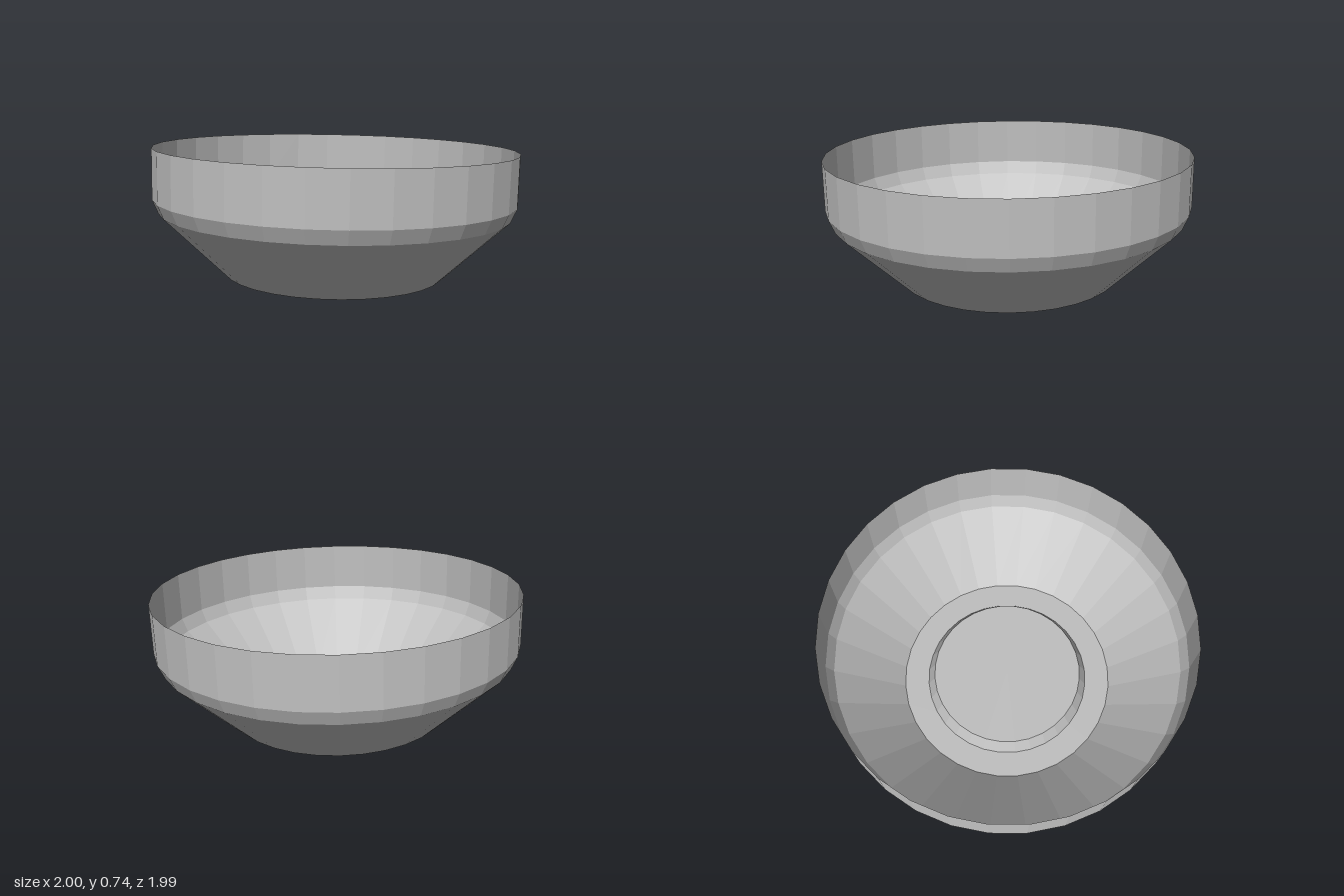
import * as THREE from 'three';

const SEGMENTS = 32;
const TILT = -0.0252;
const PHASE = THREE.MathUtils.degToRad(1.8);

export function createModel() {
  const grey = new THREE.MeshStandardMaterial({
    color: 0xc0c0c0, flatShading: true, side: THREE.DoubleSide,
  });
  grey.name = 'plain grey';

  const model = new THREE.Group();
  model.name = 'bowl';

  // the whole bowl leans slightly towards +x
  const shell = new THREE.Group();
  shell.name = 'leaningShell';
  shell.rotation.z = TILT;
  shell.position.set(-0.014, 0.0153, 0);
  model.add(shell);

  // one thin turned band from [radius, height] points
  const band = (name, points) => {
    const profile = points.map(([r, y]) => new THREE.Vector2(r, y));
    const mesh = new THREE.Mesh(new THREE.LatheGeometry(profile, SEGMENTS, PHASE), grey);
    mesh.name = name;
    shell.add(mesh);
  };

  // raised centre of the floor, hollow underneath
  band('raisedFloor', [[0, 0.085], [0.425, 0.085]]);
  band('floorStep', [[0.425, 0.085], [0.466, 0]]);
  band('footRing', [[0.466, 0], [0.605, 0]]);

  // sloping side, narrow shoulder and upright wall
  band('slopingSide', [[0.605, 0], [0.964, 0.347]]);
  band('shoulder', [[0.964, 0.347], [0.9965, 0.422]]);
  band('rimWall', [[0.9965, 0.422], [0.9965, 0.695]]);

  return model;
}
